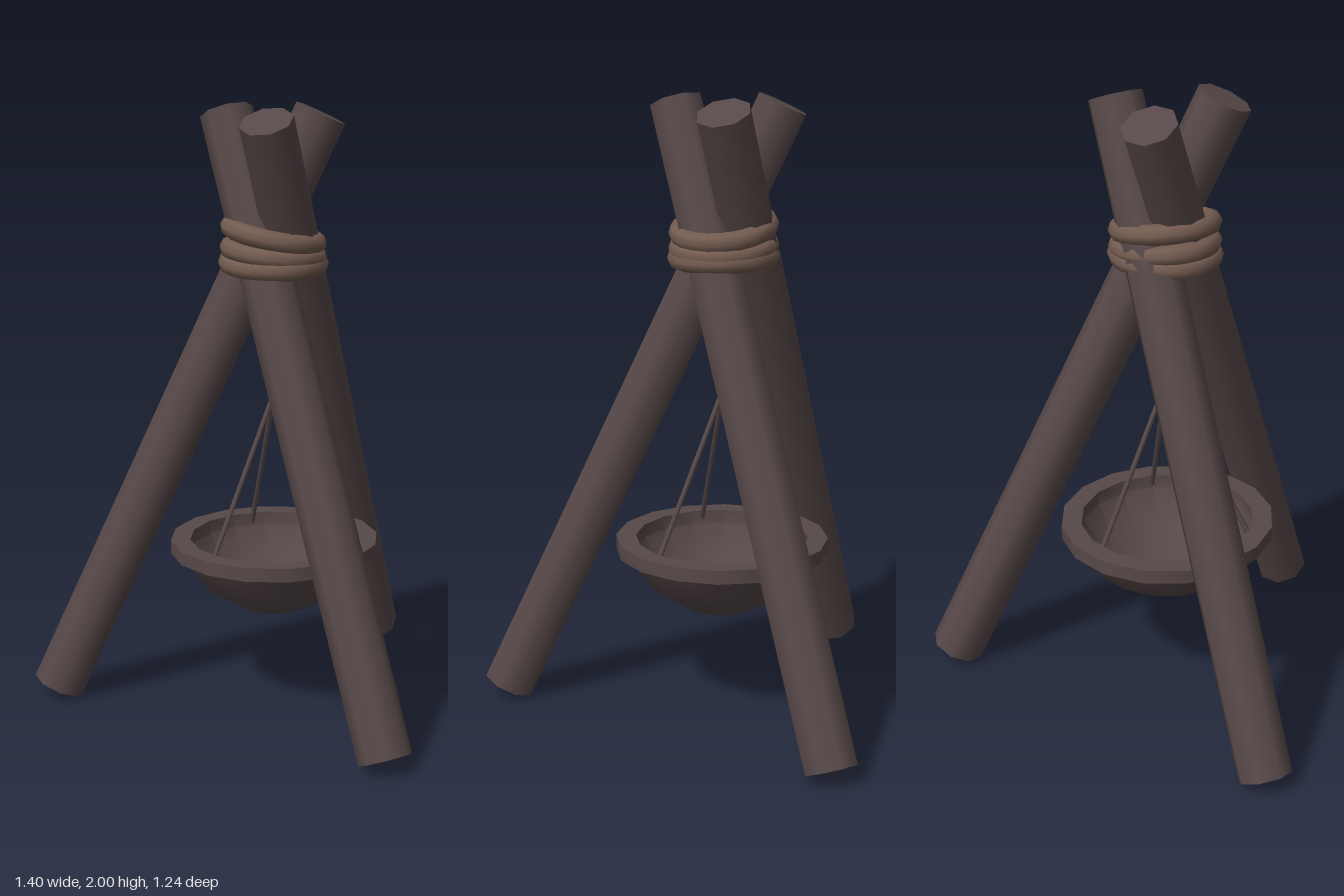
import * as THREE from 'three';
import { toCreasedNormals } from 'three/addons/utils/BufferGeometryUtils.js';

const UP = new THREE.Vector3(0, 1, 0);
const CZ = -0.167; // z of the hanging axis

export function createModel() {
  const model = new THREE.Group();
  const wood = new THREE.MeshStandardMaterial({ color: 0x574848 });
  wood.name = 'dark wood';
  const rope = new THREE.MeshStandardMaterial({ color: 0x735b50 });
  rope.name = 'brown rope';

  const add = (name, geometry, material) => {
    const mesh = new THREE.Mesh(geometry, material);
    mesh.name = name;
    model.add(mesh);
    return mesh;
  };

  // Straight round bar between two points
  const bar = (name, from, to, radius, sides) => {
    const a = new THREE.Vector3(...from);
    const b = new THREE.Vector3(...to);
    const dir = b.clone().sub(a);
    const geometry = new THREE.CylinderGeometry(radius, radius, dir.length(), sides);
    geometry.rotateY(Math.PI / sides);
    const mesh = add(name, geometry, wood);
    mesh.position.copy(a).add(b).multiplyScalar(0.5);
    mesh.quaternion.setFromUnitVectors(UP, dir.normalize());
  };

  // Three crossing poles
  bar('frontPole', [0, 0.04, 0.54], [-0.07, 1.965, -0.345], 0.087, 8);
  bar('rightPole', [-0.625, 0.04, -0.545], [0.18, 1.963, -0.17], 0.087, 8);
  bar('leftPole', [0.62, 0.04, -0.525], [-0.108, 1.965, -0.01], 0.087, 8);

  // Rope lashing: three tilted loops
  const loops = [
    { y: 1.585, r: 0.142, tiltX: 0.1, tiltZ: -0.17 },
    { y: 1.528, r: 0.142, tiltX: 0.05, tiltZ: -0.1 },
    { y: 1.495, r: 0.146, tiltX: 0.04, tiltZ: 0.01 },
  ];
  for (const { y, r, tiltX, tiltZ } of loops) {
    const loop = add('ropeLoop', new THREE.TorusGeometry(r, 0.033, 8, 20).rotateX(Math.PI / 2), rope);
    loop.position.set(0.003, y, CZ);
    loop.rotation.set(tiltX, 0, tiltZ);
  }

  // Bowl with a square rim, outside then inside
  const profile = [
    [0, 0.313], [0.12, 0.34], [0.24, 0.415], [0.308, 0.525],
    [0.345, 0.525], [0.345, 0.57], [0.28, 0.57], [0.28, 0.525],
    [0.22, 0.43], [0.11, 0.36], [0, 0.335],
  ].map(([x, y]) => new THREE.Vector2(x, y));
  const bowl = add('bowl', toCreasedNormals(new THREE.LatheGeometry(profile, 16), 0.62), wood);
  bowl.position.set(0.003, 0, CZ);

  // Hanger: one upright line and three stays to the rim
  const apex = [0.003, 1.06, CZ];
  bar('hangerLine', apex, [0.003, 1.52, CZ], 0.009, 6);
  for (let i = 0; i < 3; i++) {
    const angle = 0.77 + (i * Math.PI * 2) / 3;
    bar('stay', [0.283 * Math.cos(angle), 0.54, CZ + 0.283 * Math.sin(angle)], apex, 0.009, 6);
  }

  return model;
}
